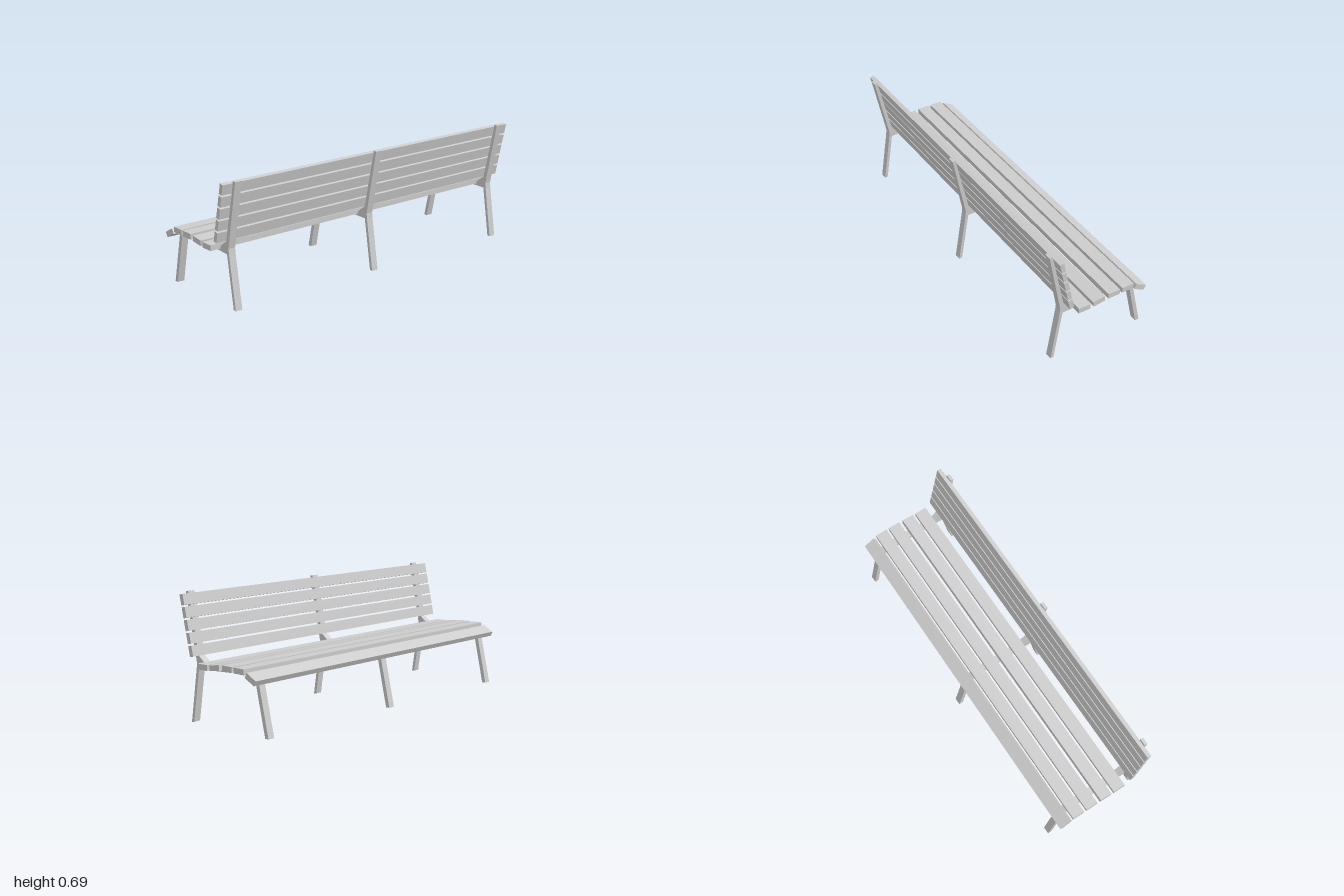
import * as THREE from 'three';

const material = new THREE.MeshStandardMaterial({ color: 0xcccccc, flatShading: true });
const LENGTH = 2;
const FRAME_WIDTH = 0.04;

// Side profile of one support: front leg, seat rail, gusset, rear leg and back post
const PROFILE = [
  [-0.295, 0], [-0.272, 0], [-0.208, 0.282], [-0.161, 0.305],
  [0.117, 0.292], [0.206, 0.289], [0.252, 0.003], [0.27, 0],
  [0.224, 0.29], [0.221, 0.32], [0.295, 0.683], [0.277, 0.687],
  [0.204, 0.357], [0.15, 0.317], [0.147, 0.303], [0.08, 0.303],
  [0, 0.313], [-0.05, 0.316], [-0.172, 0.316], [-0.23, 0.284],
];

function addSlat(parent, name, x, y, width, thickness, angle) {
  const slat = new THREE.Mesh(new THREE.BoxGeometry(width, thickness, LENGTH), material);
  slat.name = name;
  slat.position.set(x, y, 0);
  slat.rotation.z = THREE.MathUtils.degToRad(angle);
  parent.add(slat);
}

export function createModel() {
  const bench = new THREE.Group();
  bench.name = 'bench';

  // Three supporting frames
  const shape = new THREE.Shape(PROFILE.map(([x, y]) => new THREE.Vector2(x, y)));
  const frameGeometry = new THREE.ExtrudeGeometry(shape, { depth: FRAME_WIDTH, bevelEnabled: false });
  frameGeometry.translate(0, 0, -FRAME_WIDTH / 2);
  [-0.92, 0.01, 0.92].forEach((z, i) => {
    const frame = new THREE.Mesh(frameGeometry, material);
    frame.name = ['rearEndFrame', 'middleFrame', 'frontEndFrame'][i];
    frame.position.z = z;
    bench.add(frame);
  });

  // Seat slats: x, y, tilt in degrees
  const seat = new THREE.Group();
  seat.name = 'seat';
  [
    [-0.2335, 0.301, 28.5],
    [-0.154, 0.331, 0],
    [-0.068, 0.331, 0],
    [0.0245, 0.3245, -7.3],
    [0.1135, 0.318, 0],
  ].forEach(([x, y, tilt], i) => addSlat(seat, `seatSlat${i + 1}`, x, y, 0.071, 0.03, tilt));
  bench.add(seat);

  // Backrest slats, evenly stepped up the leaning posts
  const backrest = new THREE.Group();
  backrest.name = 'backrest';
  for (let i = 0; i < 5; i++) {
    addSlat(backrest, `backSlat${i + 1}`, 0.199 + i * 0.0146, 0.389 + i * 0.065, 0.024, 0.057, -12.8);
  }
  bench.add(backrest);

  return bench;
}
